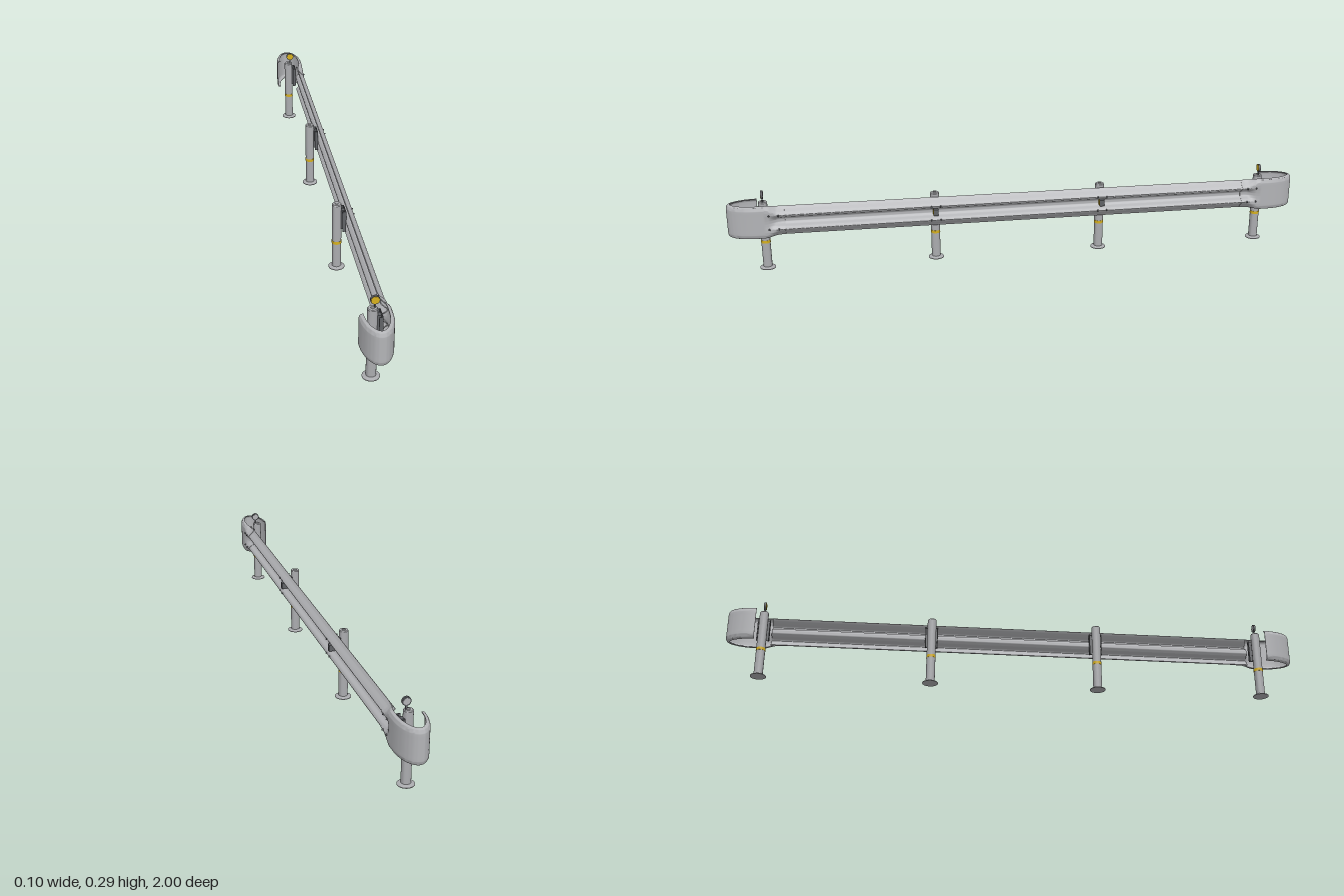
import * as THREE from 'three';
import { toCreasedNormals } from 'three/addons/utils/BufferGeometryUtils.js';

const mat = (name, color) => Object.assign(new THREE.MeshStandardMaterial({ color }), { name });
const MID = 0.185; // height of the rail's centre line
const RAIL_X = 0.049; // outermost face of the end caps
const POST_X = -0.007;

// Half profiles from top edge to centre: [offset outward, height above centre]
const W_HALF = [[-0.026, 0.052], [-0.021, 0.045], [-0.012, 0.036], [-0.004, 0.029],
  [-0.004, 0.022], [-0.013, 0.015], [-0.024, 0.009], [-0.026, 0]];
const FLAT_HALF = [[-0.013, 0.058], [-0.005, 0.056], [-0.001, 0.05], [0, 0.042],
  [0, 0.03], [0, 0.02], [0, 0.01], [0, 0]];

function profile(half, shift = 0) {
  const lower = half.slice(0, -1).reverse().map(([n, y]) => [n, -y]);
  const pts = [...half, ...lower].map(([n, y]) => new THREE.Vector2(n + shift, y + MID));
  return new THREE.SplineCurve(pts).getPoints(42);
}

// Adds the inner skin to an open profile, giving a closed sheet section
function thicken(outer, t = 0.003) {
  const inner = outer.map((p, i) => {
    const a = outer[Math.max(i - 1, 0)], b = outer[Math.min(i + 1, outer.length - 1)];
    const d = b.clone().sub(a).normalize();
    return new THREE.Vector2(p.x + d.y * t, p.y - d.x * t);
  });
  return [...outer, ...inner.reverse()];
}

// Lofts sections along stations { x, z, nx, nz, section }
function loft(stations, flip) {
  const pos = [], idx = [], m = stations[0].section.length;
  const tri = (a, b, c) => (flip ? idx.push(a, c, b) : idx.push(a, b, c));
  for (const s of stations) {
    for (const p of s.section) pos.push(s.x + s.nx * p.x, p.y, s.z + s.nz * p.x);
  }
  for (let k = 0; k < stations.length - 1; k++) {
    for (let i = 0; i < m; i++) {
      const a = k * m + i, b = k * m + (i + 1) % m;
      tri(a, a + m, b);
      tri(b, a + m, b + m);
    }
  }
  const last = (stations.length - 1) * m;
  for (let i = 0; i < m / 2 - 1; i++) {
    const o = i, o1 = i + 1, n = m - 1 - i, n1 = m - 2 - i;
    tri(o, o1, n1);
    tri(o, n1, n);
    tri(last + o, last + n1, last + o1);
    tri(last + o, last + n, last + n1);
  }
  const g = new THREE.BufferGeometry();
  g.setAttribute('position', new THREE.Float32BufferAttribute(pos, 3));
  g.setIndex(idx);
  return toCreasedNormals(g, 0.8);
}

// Rounded end: straight overlap on the rail, then a half ellipse curling behind the post
function endCapGeometry(side) {
  const w = profile(W_HALF, 0.002), flat = profile(FLAT_HALF), stations = [];
  for (let i = 0; i <= 12; i++) {
    const z = 0.805 + 0.095 * i / 12;
    const t = THREE.MathUtils.smoothstep(z, 0.82, 0.875);
    const section = thicken(w.map((p, j) => p.clone().lerp(flat[j], t)));
    stations.push({ x: RAIL_X, z: z * side, nx: 1, nz: 0, section });
  }
  const section = thicken(flat), rx = 0.05, rz = 0.1;
  for (let i = 1; i <= 36; i++) {
    const a = Math.PI * i / 36;
    const n = new THREE.Vector2(Math.cos(a) / rx, Math.sin(a) / rz).normalize();
    stations.push({ x: RAIL_X - rx + rx * Math.cos(a), z: side * (0.9 + rz * Math.sin(a)),
      nx: n.x, nz: n.y * side, section });
  }
  return loft(stations, side < 0);
}

export function createModel() {
  const steel = mat('galvanised steel', 0xb2b3b6);
  const postSteel = mat('post steel', 0xaaabae);
  const dark = mat('dark steel', 0x606266);
  const yellow = mat('reflective yellow', 0xd6b01e);

  const model = new THREE.Group();
  model.name = 'guardrail';
  const add = (parent, name, geometry, material, x = 0, y = 0, z = 0) => {
    const mesh = new THREE.Mesh(geometry, material);
    mesh.name = name;
    mesh.position.set(x, y, z);
    parent.add(mesh);
    return mesh;
  };
  const box = (x, y, z) => new THREE.BoxGeometry(x, y, z);

  // Corrugated beam
  const railSection = thicken(profile(W_HALF));
  add(model, 'rail', loft([-0.85, 0.85].map((z) => (
    { x: RAIL_X, z, nx: 1, nz: 0, section: railSection })), false), steel);

  // Post with base flange and chamfered top, turned as one profile
  const postGeometry = toCreasedNormals(new THREE.LatheGeometry([
    [0, 0], [0.027, 0], [0.027, 0.002], [0.0165, 0.007], [0.0155, 0.007], [0.0155, 0.241],
    [0.0135, 0.244], [0.006, 0.244], [0.005, 0.246], [0, 0.246],
  ].map(([r, y]) => new THREE.Vector2(r, y)), 32), 0.5);
  const bandGeometry = new THREE.CylinderGeometry(0.0163, 0.0163, 0.01, 32);
  const boltGeometry = new THREE.CylinderGeometry(0.002, 0.0036, 0.005, 12).rotateZ(-Math.PI / 2);
  const discGeometry = (r, d) => new THREE.CylinderGeometry(r, r, d, 32).rotateX(Math.PI / 2);

  const addBolts = (parent, x, zs) => {
    for (const z of zs) {
      for (const y of [0.16, 0.21]) add(parent, 'bolt', boltGeometry, dark, x, y, z);
    }
  };

  for (const z of [-0.878, -0.293, 0.293, 0.878]) {
    const post = new THREE.Group();
    post.name = 'postAssembly';
    post.position.z = z;
    model.add(post);
    add(post, 'post', postGeometry, postSteel, POST_X);
    add(post, 'yellowBand', bandGeometry, yellow, POST_X, 0.1);

    // Channel bracket between post and rail
    add(post, 'bracketPlate', box(0.003, 0.076, 0.044), dark, 0.0195, MID);
    add(post, 'bracketSpacer', box(0.014, 0.07, 0.016), dark, 0.012, MID);
    for (const s of [-1, 1]) {
      add(post, 'bracketFlange', box(0.012, 0.076, 0.003), dark, 0.015, MID, s * 0.0205);
    }

    if (Math.abs(z) < 0.5) {
      // Small reflector seated in the rail valley
      add(post, 'valleyReflector', box(0.022, 0.022, 0.016), dark, 0.034, MID + 0.001);
      add(post, 'valleyReflectorFace', box(0.017, 0.017, 0.002), yellow, 0.035, MID + 0.001, 0.0085);
      addBolts(post, 0.047, [-0.016, 0.016]);
    } else {
      // Round marker on a short stem
      add(post, 'markerStem', box(0.005, 0.018, 0.004), dark, 0, 0.251);
      add(post, 'markerRim', discGeometry(0.0142, 0.007), dark, 0, 0.271);
      add(post, 'markerFace', discGeometry(0.0122, 0.002), yellow, 0, 0.271, 0.0035);
      add(post, 'markerBack', discGeometry(0.0105, 0.002), steel, 0, 0.271, -0.0035);
    }
  }

  // Curled ends, bolted over the rail
  for (const side of [-1, 1]) {
    add(model, 'endCap', endCapGeometry(side), steel);
    addBolts(model, 0.0495, [side * 0.826, side * 0.858]);
  }
  return model;
}
